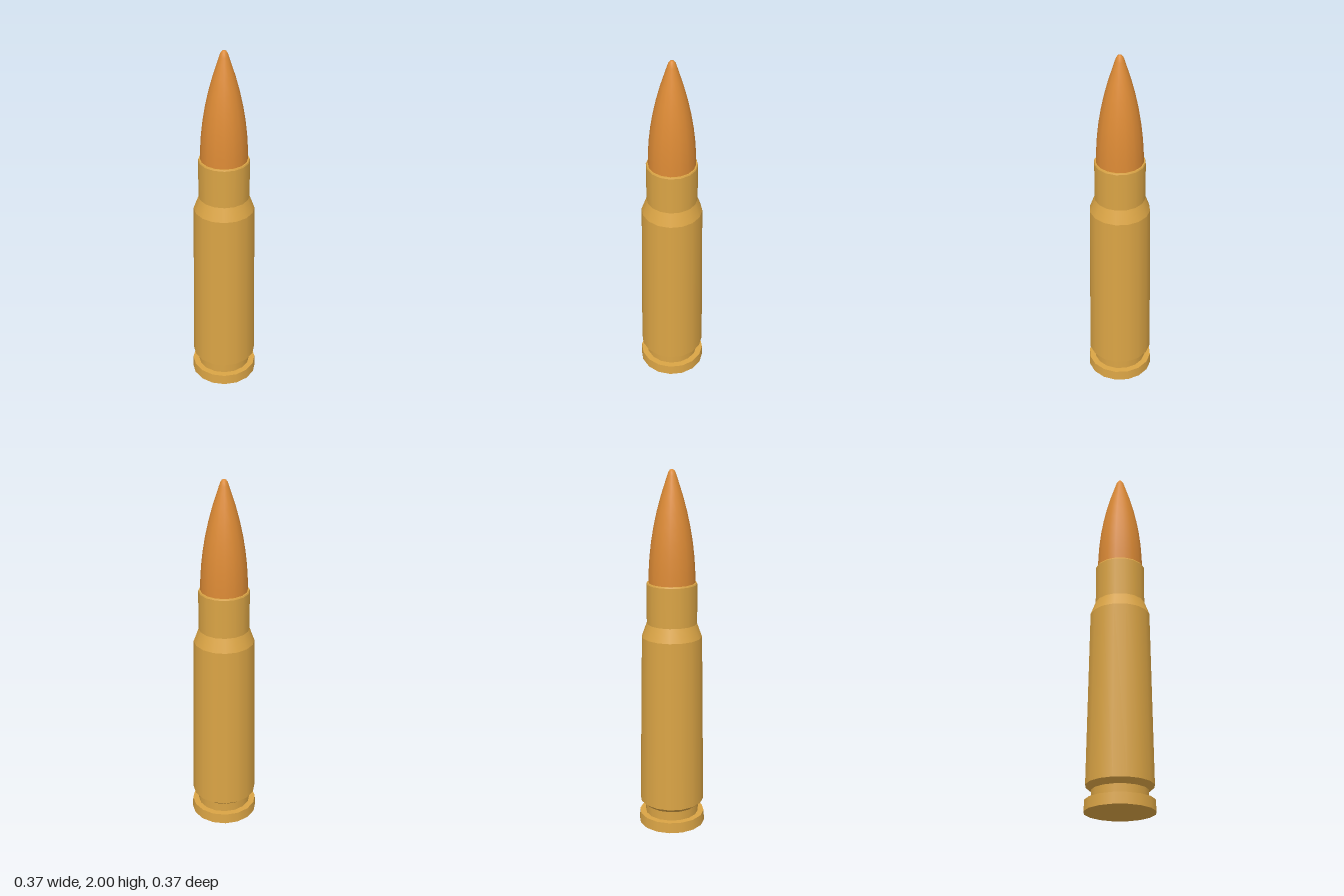
import * as THREE from 'three';

const SIDES = 16;
const STEP = Math.PI / SIDES;
const WIDEN = 1 / Math.cos(STEP); // flat-to-flat half width -> corner radius

// Smooth lathe with a flat side facing front; points are [halfWidth, y], bottom to top
function turned(points, material, name) {
  const profile = points.map(([r, y]) => new THREE.Vector2(r * WIDEN, y));
  const mesh = new THREE.Mesh(new THREE.LatheGeometry(profile, SIDES, STEP), material);
  mesh.name = name;
  return mesh;
}

// Each band is its own lathe, so the edges between bands stay sharp
function banded(points, material, name) {
  const group = new THREE.Group();
  group.name = name;
  for (let i = 0; i < points.length - 1; i++) {
    group.add(turned([points[i], points[i + 1]], material, name + 'Band' + (i + 1)));
  }
  return group;
}

export function createModel() {
  const model = new THREE.Group();
  model.name = 'cartridge';
  const brass = new THREE.MeshStandardMaterial({ color: 0xdaa445 });
  const copper = new THREE.MeshStandardMaterial({ color: 0xdc8a35 });

  // Flat base and rim
  model.add(banded([[0, 0], [0.183, 0], [0.18, 0.06], [0.147, 0.06]], brass, 'rim'));
  // Extractor groove with its bevel
  model.add(banded([[0.147, 0.06], [0.147, 0.112], [0.177, 0.138]], brass, 'groove'));
  // Tapered body, shoulder, neck and mouth
  model.add(banded([[0.177, 0.138], [0.162, 1.1]], brass, 'body'));
  model.add(banded([[0.162, 1.1], [0.135, 1.175]], brass, 'shoulder'));
  model.add(banded([[0.135, 1.175], [0.135, 1.393], [0.132, 1.4], [0.122, 1.4]], brass, 'neck'));

  // Pointed bullet with a rounded tip
  model.add(turned([
    [0.125, 1.39], [0.123, 1.46], [0.118, 1.54], [0.109, 1.62], [0.096, 1.7], [0.079, 1.78],
    [0.058, 1.86], [0.036, 1.93], [0.025, 1.965], [0.019, 1.983], [0.011, 1.995], [0, 2],
  ], copper, 'bullet'));

  return model;
}
